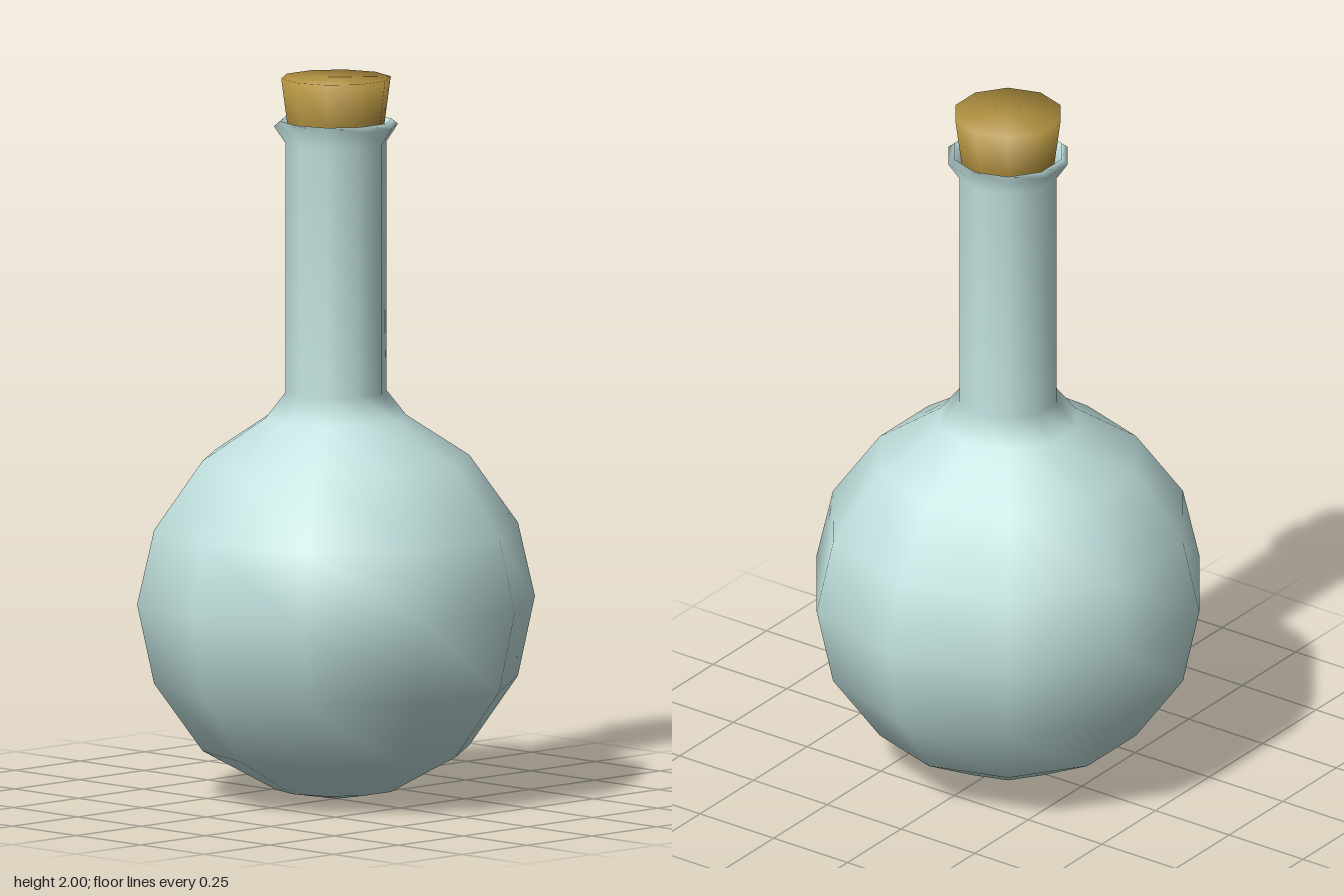
import * as THREE from 'three';

const SIDES = 10;

// Ten-sided smooth lathe with a corner pointing along +x
function turned(name, profile, material) {
  const points = profile.map(([r, y]) => new THREE.Vector2(r, y));
  const mesh = new THREE.Mesh(new THREE.LatheGeometry(points, SIDES, Math.PI / 2), material);
  mesh.name = name;
  return mesh;
}

export function createModel() {
  const glass = new THREE.MeshStandardMaterial({ color: 0xc0e0dd });
  glass.name = 'pale glass';
  const corkBrown = new THREE.MeshStandardMaterial({ color: 0xb09040 });
  corkBrown.name = 'cork brown';

  const group = new THREE.Group();
  group.name = 'corkedFlask';

  // Round body, neck and flared lip, turning in to the mouth
  group.add(turned('flask', [
    [0, 0], [0.17, 0.03], [0.37, 0.14], [0.505, 0.33], [0.552, 0.55],
    [0.505, 0.755], [0.37, 0.945], [0.195, 1.06], [0.14, 1.13],
    [0.14, 1.82], [0.172, 1.868], [0.155, 1.882], [0.125, 1.83], [0.12, 1.72],
  ], glass));

  // Tapered stopper reaching down into the neck
  group.add(turned('cork', [
    [0, 1.74], [0.118, 1.74], [0.136, 1.88], [0.152, 2], [0, 2],
  ], corkBrown));

  return group;
}
